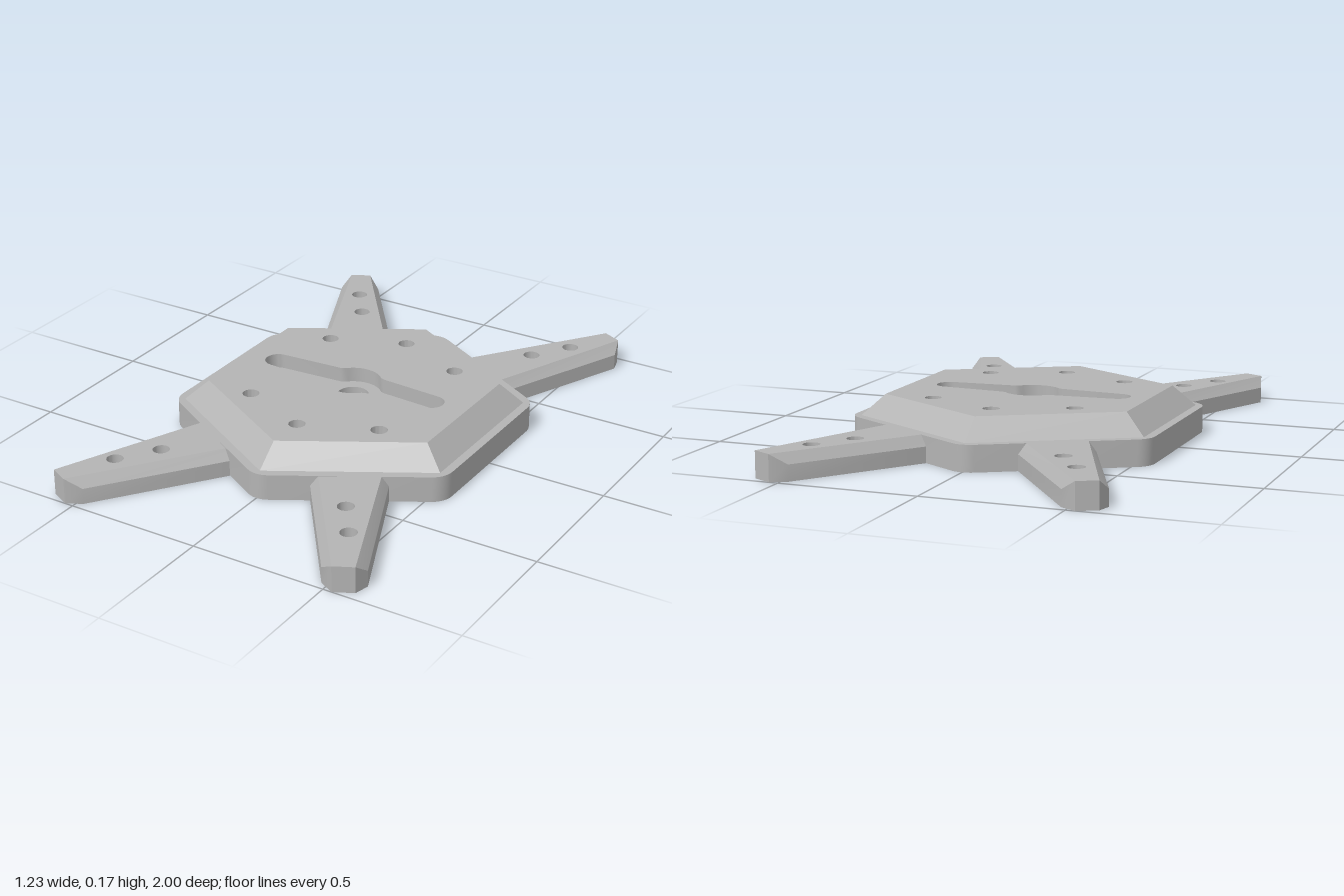
import * as THREE from 'three';
import { mergeGeometries, toCreasedNormals } from 'three/addons/utils/BufferGeometryUtils.js';

const V = (x, y) => new THREE.Vector2(x, y);
const BASE = 0.095, DECK = 0.17, FLOOR = 0.115, BEVEL = 0.058;

// Plan outlines are drawn as (x, -z); heights become y once a part is finished.
const arc = (cx, cy, r, a0, a1, n) =>
  Array.from({ length: n + 1 }, (_, i) => {
    const a = a0 + (a1 - a0) * i / n;
    return V(cx + r * Math.cos(a), cy + r * Math.sin(a));
  });
const circle = (cx, cy, r) => arc(cx, cy, r, 0, Math.PI * 2, 28).slice(0, -1);
const ccw = (pts) => (THREE.ShapeUtils.area(pts) < 0 ? pts.slice().reverse() : pts);

// Flat face with holes
function cap(outline, holes, h, up = true) {
  const shape = new THREE.Shape(outline);
  shape.holes = holes.map((p) => new THREE.Path(p));
  const g = new THREE.ShapeGeometry(shape);
  if (!up) {
    const ix = g.index.array;
    for (let i = 0; i < ix.length; i += 3) [ix[i], ix[i + 1]] = [ix[i + 1], ix[i]];
  }
  g.translate(0, 0, h);
  return g.toNonIndexed();
}

// Wall between two counter-clockwise rings; heights are a number or one per point
function wall(lo, hLo, hi, hHi, outward = true) {
  const at = (p, h, i) => new THREE.Vector3(p[i].x, p[i].y, Array.isArray(h) ? h[i] : h);
  const pos = [];
  const tri = (a, b, c) => {
    if (new THREE.Triangle(a, b, c).getArea() < 1e-8) return;
    for (const p of outward ? [a, b, c] : [a, c, b]) pos.push(p.x, p.y, p.z);
  };
  for (let i = 0; i < lo.length; i++) {
    const j = (i + 1) % lo.length;
    const a = at(lo, hLo, i), b = at(lo, hLo, j), c = at(hi, hHi, j), d = at(hi, hHi, i);
    tri(a, b, c);
    tri(a, c, d);
  }
  const g = new THREE.BufferGeometry();
  g.setAttribute('position', new THREE.Float32BufferAttribute(pos, 3));
  return g;
}
const bore = (pts, h0, h1) => wall(pts, h0, pts, h1, false);

function part(name, pieces, material) {
  for (const g of pieces) { g.deleteAttribute('uv'); g.deleteAttribute('normal'); }
  const g = toCreasedNormals(mergeGeometries(pieces), 0.45);
  g.rotateX(-Math.PI / 2);
  const mesh = new THREE.Mesh(g, material);
  mesh.name = name;
  return mesh;
}

// Recess: two tapered arms around a round hub
function recessOutline(cx, cy) {
  const q = [...arc(0.323, 0, 0.048, 0, Math.PI / 2, 8), V(0.092, 0.063), V(0.078, 0.068),
    ...arc(0, 0, 0.103, 0.87, Math.PI / 2, 6)];
  const flip = (sx, sy) => q.map((p) => V(p.x * sx, p.y * sy));
  const ring = [...q, ...flip(-1, 1).reverse(), ...flip(-1, -1), ...flip(1, -1).reverse()];
  return ring
    .filter((p, i) => p.distanceTo(ring[(i + 1) % ring.length]) > 1e-5)
    .map((p) => V(p.x + cx, p.y + cy));
}

export function createModel() {
  const grey = new THREE.MeshStandardMaterial({ color: 0xb4b4b4 });
  grey.name = 'plain grey';
  const model = new THREE.Group();
  model.name = 'mountingPlate';

  const cy = 0.004;
  const hexagon = (r) => Array.from({ length: 6 }, (_, i) => {
    const a = Math.PI / 6 + i * Math.PI / 3;
    return V(r * Math.cos(a), cy + r * Math.sin(a));
  });
  // Hexagonal outline with rounded corners
  const outline = [];
  for (const [i, p] of hexagon(0.553).entries()) {
    const a = Math.PI / 6 + i * Math.PI / 3;
    outline.push(...arc(p.x, p.y, 0.082, a - Math.PI / 6, a + Math.PI / 6, 6));
  }
  const deckLow = hexagon(0.611), deckTop = hexagon(0.523);

  const screwHoles = [[0, 0.38], [0, -0.374], [0.266, 0.27], [-0.266, 0.27], [0.266, -0.264], [-0.266, -0.264]]
    .map(([x, y]) => circle(x, y, 0.03));
  const rx = -0.01, ry = 0.014;
  const recess = recessOutline(rx, ry);
  const recessHoles = [circle(rx, ry, 0.057), circle(rx - 0.328, ry, 0.012), circle(rx + 0.328, ry, 0.012)];

  // Base plate with its through holes
  model.add(part('basePlate', [
    cap(outline, [...screwHoles, ...recessHoles], 0, false),
    wall(outline, 0, outline, BASE),
    cap(outline, [deckLow], BASE),
    ...screwHoles.map((p) => bore(p, 0, DECK)),
  ], grey));

  // Raised deck with sloping rim
  model.add(part('raisedDeck', [
    wall(deckLow, BASE, deckTop, DECK),
    cap(deckTop, [...screwHoles, recess], DECK),
  ], grey));

  // Sunken recess, its floor and holes
  model.add(part('recess', [
    bore(recess, FLOOR, DECK),
    cap(recess, recessHoles, FLOOR),
    ...recessHoles.map((p) => bore(p, 0, FLOOR)),
  ], grey));

  // Four tapered legs with bevelled long edges and two holes each
  const foot = [[0.165, 0.55], [0.476, 0.97], [0.532, 1.0], [0.6, 0.966], [0.613, 0.912], [0.394, 0.411]];
  const crown = [[0.19, 0.537], foot[2], foot[2], foot[3], foot[3], [0.372, 0.424]];
  const heights = [BEVEL, BEVEL, BASE, BASE, BEVEL, BEVEL];
  for (const sx of [1, -1]) for (const sy of [1, -1]) {
    const place = (pts) => {
      const p = pts.map(([x, y]) => V(x * sx, y * sy));
      return sx * sy > 0 ? p.reverse() : p;
    };
    const low = place(foot), high = place(crown);
    const top = place([crown[0], crown[1], crown[3], crown[5]]);
    const holes = [[0.375, 0.668], [0.47, 0.805]]
      .map(([x, y]) => circle(x * sx, y * sy + 0.009, 0.03));
    model.add(part((sy > 0 ? 'back' : 'front') + (sx > 0 ? 'Left' : 'Right') + 'Leg', [
      cap(ccw(low), holes, 0, false),
      wall(low, 0, low, heights),
      wall(low, heights, high, BASE),
      cap(ccw(top), holes, BASE),
      ...holes.map((p) => bore(p, 0, BASE)),
    ], grey));
  }
  return model;
}
